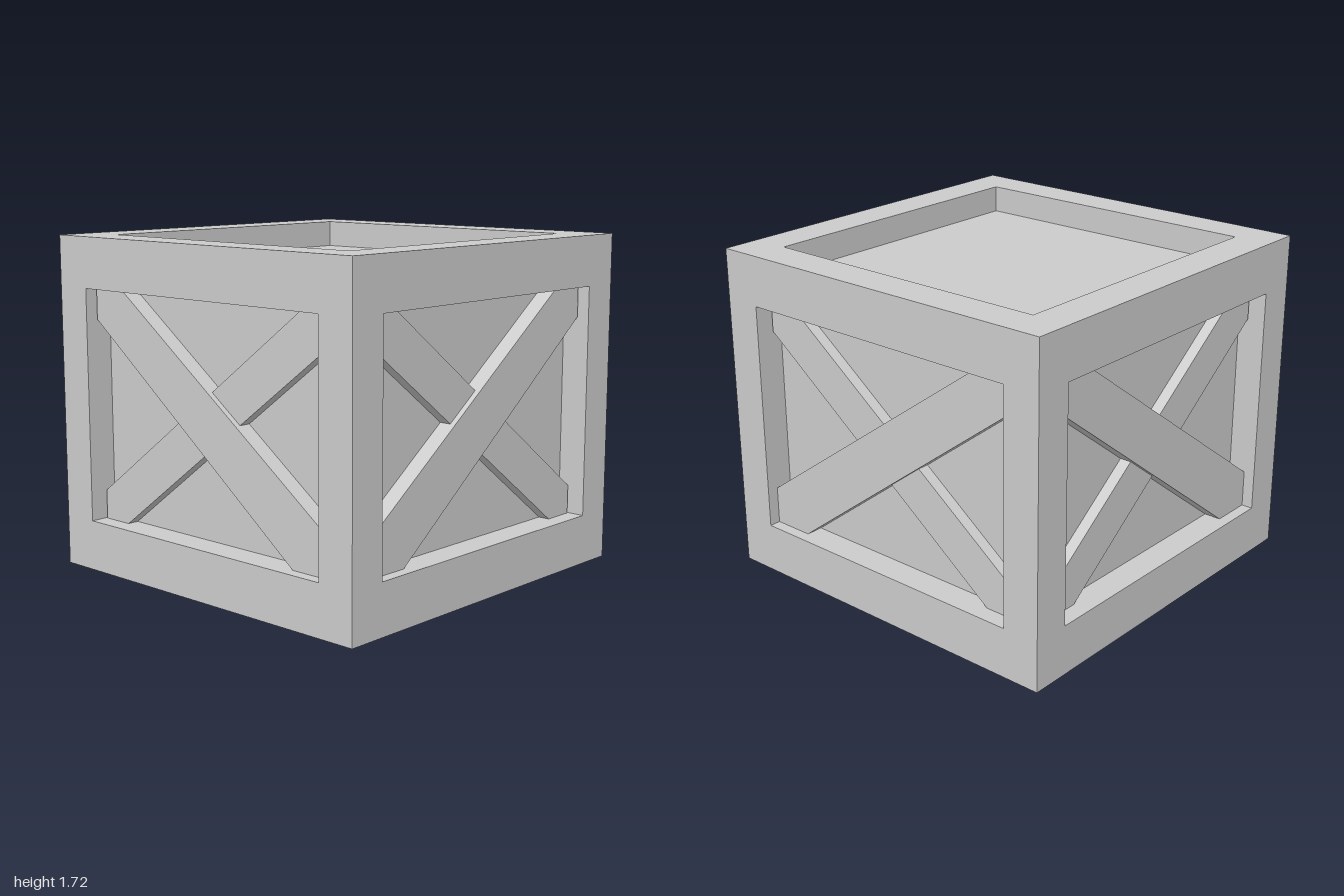
import * as THREE from 'three';

const W = 2, H = 1.72;          // overall width/depth and height
const POST = 0.2, RAIL = 0.26;  // frame thickness across and up
const SIDE_IN = 0.15, LID_IN = 0.14; // recess of side panels and of lid/bottom

const material = new THREE.MeshStandardMaterial({ color: 0xcccccc, flatShading: true });

function addBox(parent, name, size, pos) {
  const mesh = new THREE.Mesh(new THREE.BoxGeometry(...size), material);
  mesh.name = name;
  mesh.position.set(...pos);
  parent.add(mesh);
}

// Diagonal plank outlines, clipped to the side opening
const OVER = [[-0.8, 0.26], [-0.58, 0.26], [0.79, 1.3], [0.79, 1.46], [0.59, 1.46], [-0.8, 0.455]];
const UNDER = [[-0.79, 1.46], [-0.79, 1.31], [0.62, 0.26], [0.79, 0.26], [0.79, 0.41], [-0.62, 1.46]];

function addPlank(parent, name, outline, thickness, flip) {
  const shape = new THREE.Shape(outline.map(([x, y]) => new THREE.Vector2(x * flip, y)));
  const geometry = new THREE.ExtrudeGeometry(shape, { depth: thickness, bevelEnabled: false });
  const mesh = new THREE.Mesh(geometry, material);
  mesh.name = name;
  mesh.position.z = W / 2 - SIDE_IN;
  parent.add(mesh);
}

export function createModel() {
  const crate = new THREE.Group();
  crate.name = 'crate';

  // Inner box: side panels, lid and bottom
  const core = W - 2 * SIDE_IN;
  addBox(crate, 'innerBox', [core, H - 2 * LID_IN, core], [0, H / 2, 0]);

  // Frame: corner posts plus top and bottom rails
  const frame = new THREE.Group();
  frame.name = 'frame';
  crate.add(frame);
  const edge = (W - POST) / 2;
  for (const s of [-1, 1]) {
    for (const t of [-1, 1]) {
      addBox(frame, 'cornerPost', [POST, H - 2 * RAIL, POST], [s * edge, H / 2, t * edge]);
      const y = H / 2 + t * (H - RAIL) / 2;
      addBox(frame, 'longRail', [W, RAIL, POST], [0, y, s * edge]);
      addBox(frame, 'crossRail', [POST, RAIL, W - 2 * POST], [s * edge, y, 0]);
    }
  }

  // Crossed planks; opposite sides mirror each other
  const sides = [
    ['frontBrace', 0, 1], ['rightBrace', Math.PI / 2, 1],
    ['backBrace', Math.PI, -1], ['leftBrace', -Math.PI / 2, -1],
  ];
  for (const [name, turn, flip] of sides) {
    const brace = new THREE.Group();
    brace.name = name;
    brace.rotation.y = turn;
    addPlank(brace, 'outerPlank', OVER, 0.09, flip);
    addPlank(brace, 'innerPlank', UNDER, 0.06, flip);
    crate.add(brace);
  }
  return crate;
}
